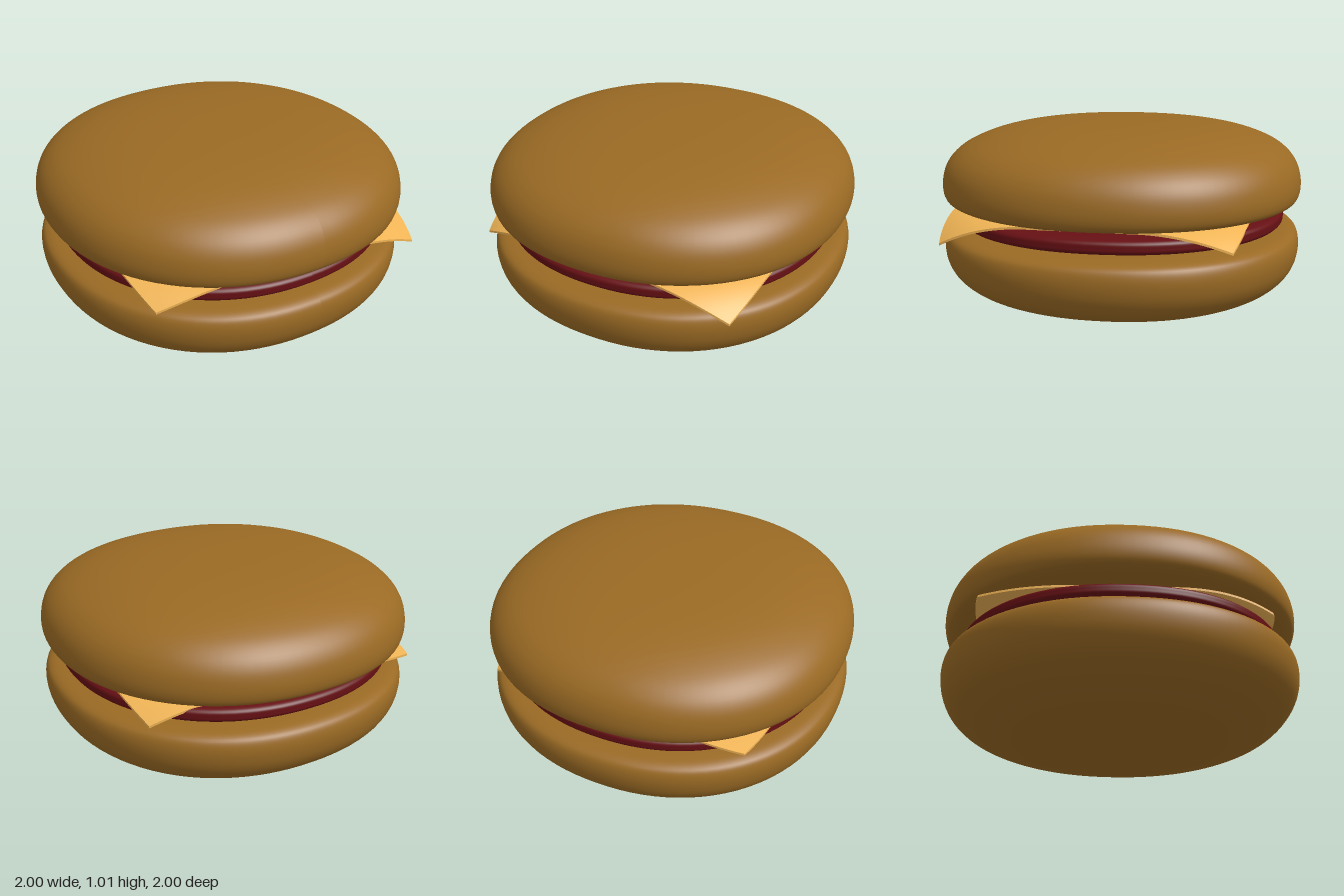
import * as THREE from 'three';

const material = (color, side = THREE.FrontSide) =>
  new THREE.MeshStandardMaterial({ color, side, roughness: 0.8 });

// Smooth round body whose plan is a slightly squared circle
function roundBody(name, points, mat, power = 2.15) {
  const curve = new THREE.SplineCurve(points.map(([r, y]) => new THREE.Vector2(r, y)));
  const profile = curve.getPoints(60);
  profile.forEach((p) => { p.x = Math.max(p.x, 0); });
  profile[0].x = profile[profile.length - 1].x = 0;
  const geometry = new THREE.LatheGeometry(profile, 96);
  const pos = geometry.attributes.position;
  for (let i = 0; i < pos.count; i++) {
    const x = pos.getX(i), z = pos.getZ(i), r = Math.hypot(x, z);
    if (r < 1e-6) continue;
    const k = Math.pow(Math.abs(x / r) ** power + Math.abs(z / r) ** power, -1 / power);
    pos.setXYZ(i, x * k, pos.getY(i), z * k);
  }
  geometry.computeVertexNormals();
  const mesh = new THREE.Mesh(geometry, mat);
  mesh.name = name;
  return mesh;
}

// Thin square slice: edges bow outward, corners sag by different amounts
function cheeseSlice() {
  const corners = {
    frontLeft: [0.74, 0.84, 0.12], frontRight: [-0.78, 0.71, 0.1],
    backLeft: [0.78, -0.65, 0.1], backRight: [-0.73, -0.76, 0.035],
  };
  const geometry = new THREE.BoxGeometry(2, 0.012, 2, 40, 1, 40);
  const pos = geometry.attributes.position;
  for (let i = 0; i < pos.count; i++) {
    const u = pos.getX(i), v = pos.getZ(i);
    const blend = (k) => (
      corners.frontLeft[k] * (1 + u) * (1 + v) + corners.frontRight[k] * (1 - u) * (1 + v) +
      corners.backLeft[k] * (1 + u) * (1 - v) + corners.backRight[k] * (1 - u) * (1 - v)) / 4;
    const sag = Math.max(0, (Math.hypot(u, v) - 1.07) / (Math.SQRT2 - 1.07)) ** 1.6;
    pos.setXYZ(i,
      blend(0) + 0.06 * u * (1 - v ** 4),
      0.557 + pos.getY(i) - blend(2) * sag,
      blend(1) + 0.06 * v * (1 - u ** 4));
  }
  geometry.computeVertexNormals();
  const mesh = new THREE.Mesh(geometry, material(0xf0b455, THREE.DoubleSide));
  mesh.name = 'cheeseSlice';
  return mesh;
}

export function createModel() {
  const group = new THREE.Group();
  group.name = 'burger';
  const bun = material(0x9a6a24);

  // Bun half, from its flat cut face up over the dome
  const half = [
    [0, 0], [0.4, 0.001], [0.75, 0.003], [0.9, 0.009], [0.965, 0.023], [0.993, 0.055],
    [1, 0.12], [0.982, 0.2], [0.935, 0.27], [0.85, 0.33], [0.7, 0.384],
    [0.5, 0.42], [0.25, 0.438], [0, 0.442],
  ];
  group.add(roundBody('topBun', half.map(([r, y]) => [r, 0.567 + y]), bun));
  group.add(roundBody('bottomBun', half.map(([r, y]) => [r, 0.442 - y]).reverse(), bun));

  // Meat patty
  group.add(roundBody('patty', [
    [0, 0.446], [0.5, 0.446], [0.75, 0.449], [0.87, 0.457], [0.905, 0.472], [0.91, 0.495],
    [0.905, 0.52], [0.87, 0.534], [0.75, 0.543], [0.5, 0.549], [0, 0.55],
  ], material(0x661014)));

  group.add(cheeseSlice());
  return group;
}
